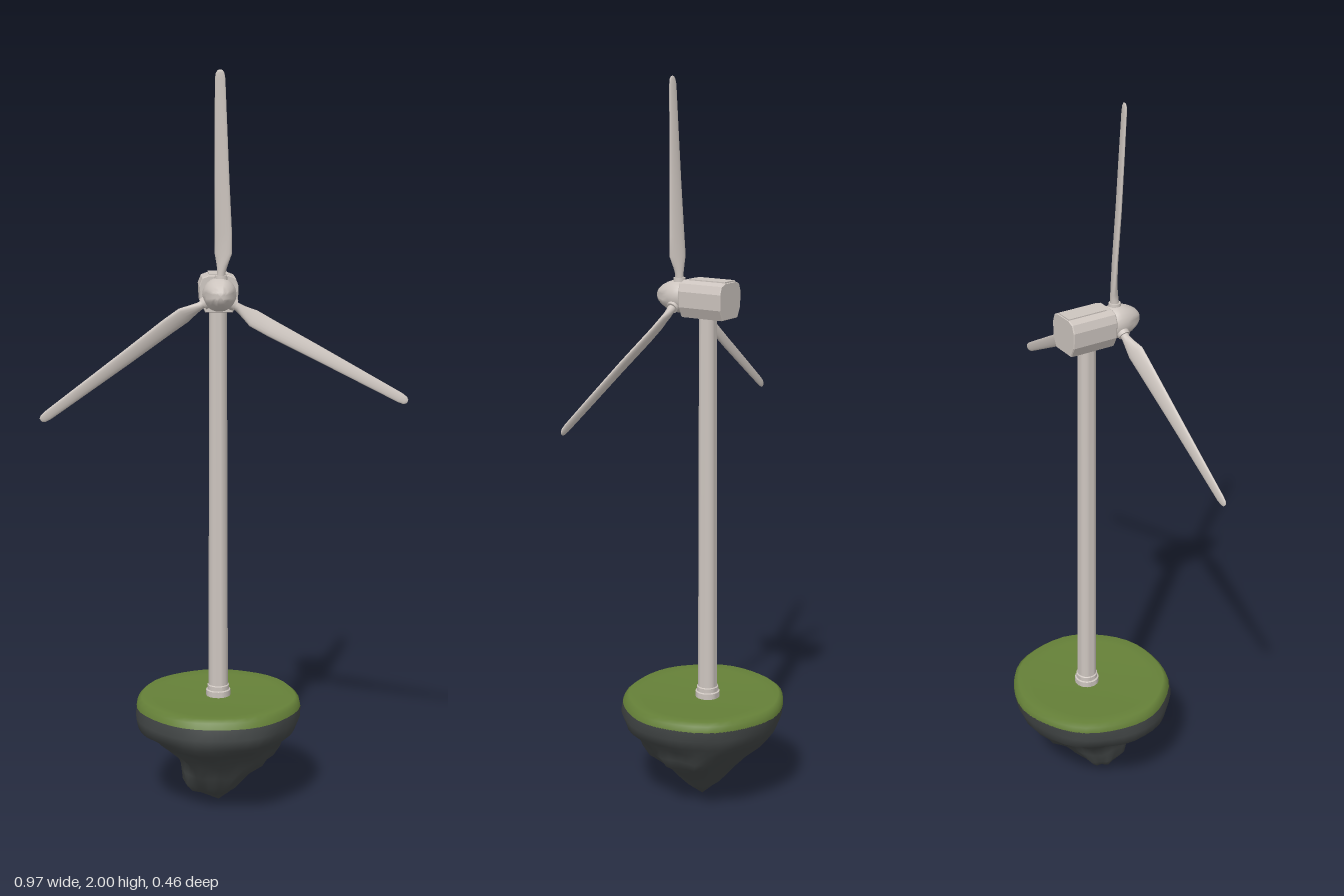
import * as THREE from 'three';
import { toCreasedNormals } from 'three/addons/utils/BufferGeometryUtils.js';

const CX = -0.015; // tower and rotor axis in x
const HUB_Y = 1.427;

const mat = (name, color) => {
  const m = new THREE.MeshStandardMaterial({ color });
  m.name = name;
  return m;
};

// Skin through closed rings listed from bottom to top; point(ring, angle) gives [x, y, z]
function loft(rings, sides, point) {
  const pos = [], idx = [];
  rings.forEach((ring, j) => {
    for (let i = 0; i < sides; i++) {
      pos.push(...point(ring, (i / sides) * Math.PI * 2));
      if (j === rings.length - 1) continue;
      const a = j * sides + i, b = j * sides + ((i + 1) % sides);
      idx.push(a, a + sides, b, b, a + sides, b + sides);
    }
  });
  const g = new THREE.BufferGeometry();
  g.setAttribute('position', new THREE.Float32BufferAttribute(pos, 3));
  g.setIndex(idx);
  g.computeVertexNormals();
  return g;
}

// Lopsided ring: [y, reach -x, reach +x, reach -z, reach +z], with lumps that fade at the rim
function islandPoint([y, xn, xp, zn, zp], t) {
  const c = Math.cos(t), s = Math.sin(t);
  const fade = Math.min(1, Math.max(0, (0.25 - y) / 0.1));
  const lump = 1 + fade * (0.07 * Math.sin(5 * t + y * 25) * Math.sin(2 * t) ** 2
    + 0.04 * Math.sin(9 * t - y * 40)) + 0.008 * Math.sin(7 * t);
  return [CX + c * (c < 0 ? xn : xp) * lump, y, s * (s < 0 ? zn : zp) * lump];
}

const lathe = (pts, sides) => toCreasedNormals(
  new THREE.LatheGeometry(pts.map(p => new THREE.Vector2(...p)), sides), 0.6);

export function createModel() {
  const model = new THREE.Group();
  model.name = 'windTurbineIsland';
  const white = mat('warmWhite', 0xcdc5bf);
  const grass = mat('grassGreen', 0x658038);
  const rock = mat('darkRock', 0x434747);

  const add = (parent, name, geo, material, x = 0, y = 0, z = 0) => {
    const m = new THREE.Mesh(geo, material);
    m.name = name;
    m.position.set(x, y, z);
    parent.add(m);
    return m;
  };

  // Floating rock, from the apex up to the rim
  add(model, 'rock', loft([
    [0, 0, 0, 0, 0],
    [0.028, 0.06, 0.033, 0.03, 0.03],
    [0.04, 0.085, 0.045, 0.045, 0.06],
    [0.065, 0.1, 0.068, 0.068, 0.088],
    [0.1, 0.105, 0.105, 0.098, 0.108],
    [0.135, 0.112, 0.15, 0.133, 0.13],
    [0.165, 0.15, 0.168, 0.165, 0.155],
    [0.195, 0.185, 0.18, 0.19, 0.185],
    [0.225, 0.225, 0.212, 0.214, 0.226],
    [0.255, 0.23, 0.226, 0.226, 0.229],
    [0.284, 0.228, 0.227, 0.231, 0.222],
  ], 40, islandPoint), rock);

  // Grass cap: rim, rounded edge and slightly sunken lawn
  add(model, 'grassTop', loft([
    [0.283, 0.228, 0.227, 0.231, 0.222],
    [0.3, 0.225, 0.223, 0.229, 0.214],
    [0.309, 0.214, 0.212, 0.217, 0.203],
    [0.306, 0.18, 0.18, 0.18, 0.17],
    [0.302, 0.08, 0.08, 0.08, 0.08],
    [0.302, 0, 0, 0, 0],
  ], 40, islandPoint), grass);

  // Tapered tower with a stepped foot
  add(model, 'tower', lathe([
    [0.034, 0.29], [0.034, 0.318], [0.03, 0.32], [0.03, 0.332],
    [0.027, 0.334], [0.024, 1.39],
  ], 24), white, CX, 0, -0.018);

  // Nacelle: chamfered box with a raised roof panel
  const half = [[0.026, 0.048], [0.044, 0.041], [0.052, 0.02], [0.05, -0.022], [0.036, -0.05]];
  const outline = [...half, ...half.map(([x, y]) => [-x, y]).reverse()];
  const section = new THREE.Shape(outline.map(p => new THREE.Vector2(...p)));
  add(model, 'nacelle', new THREE.ExtrudeGeometry(section, {
    depth: 0.126, bevelEnabled: true, bevelThickness: 0.003, bevelSize: 0.002,
    bevelOffset: -0.002, bevelSegments: 1,
  }), white, CX, HUB_Y, -0.085);
  add(model, 'roofPanel', new THREE.BoxGeometry(0.05, 0.008, 0.112), white, CX, HUB_Y + 0.047, -0.03);
  add(model, 'rotorShaft', new THREE.CylinderGeometry(0.03, 0.03, 0.03, 20).rotateX(Math.PI / 2),
    white, CX, HUB_Y, 0.045);

  // Rotor: pointed spinner and three blades
  const rotor = new THREE.Group();
  rotor.name = 'rotor';
  rotor.position.set(CX, HUB_Y, 0);
  model.add(rotor);
  add(rotor, 'spinner', lathe([
    [0, 0.046], [0.036, 0.046], [0.042, 0.053], [0.045, 0.068], [0.043, 0.085],
    [0.037, 0.105], [0.028, 0.122], [0.021, 0.131], [0.012, 0.138], [0, 0.14],
  ], 24).rotateX(Math.PI / 2), white);

  // Blade sections: [radius along blade, chord centre, half chord, half thickness, z, twist]
  const sections = [
    [0.03, 0.004, 0.012, 0.012, 0.07, 0.5],
    [0.058, 0.005, 0.011, 0.011, 0.07, 0.5],
    [0.075, 0.007, 0.015, 0.01, 0.07, 0.48],
    [0.108, 0.01, 0.025, 0.008, 0.072, 0.45],
    [0.16, 0.01, 0.024, 0.007, 0.074, 0.4],
    [0.3, 0.006, 0.02, 0.006, 0.081, 0.3],
    [0.45, 0.003, 0.016, 0.005, 0.087, 0.2],
    [0.55, 0.001, 0.0135, 0.004, 0.091, 0.14],
    [0.565, 0.001, 0.011, 0.0035, 0.092, 0.13],
    [0.572, 0.001, 0.006, 0.002, 0.092, 0.13],
    [0.573, 0.001, 0, 0, 0.092, 0.13],
  ];
  const bladeGeo = loft(sections, 16, ([r, c, a, b, z, twist], t) => {
    const u = a * Math.cos(t), v = b * Math.sin(t);
    return [c + u * Math.cos(twist) - v * Math.sin(twist), r,
      z + u * Math.sin(twist) + v * Math.cos(twist)];
  });
  [0, -119.6, 124.8].forEach((deg, i) => {
    const blade = new THREE.Group();
    blade.name = `blade${i + 1}`;
    blade.rotation.z = THREE.MathUtils.degToRad(deg);
    rotor.add(blade);
    add(blade, 'bladeSurface', bladeGeo, white);
    add(blade, 'bladeCollar', new THREE.CylinderGeometry(0.016, 0.018, 0.02, 16), white, 0.004, 0.04, 0.07);
  });

  return model;
}
